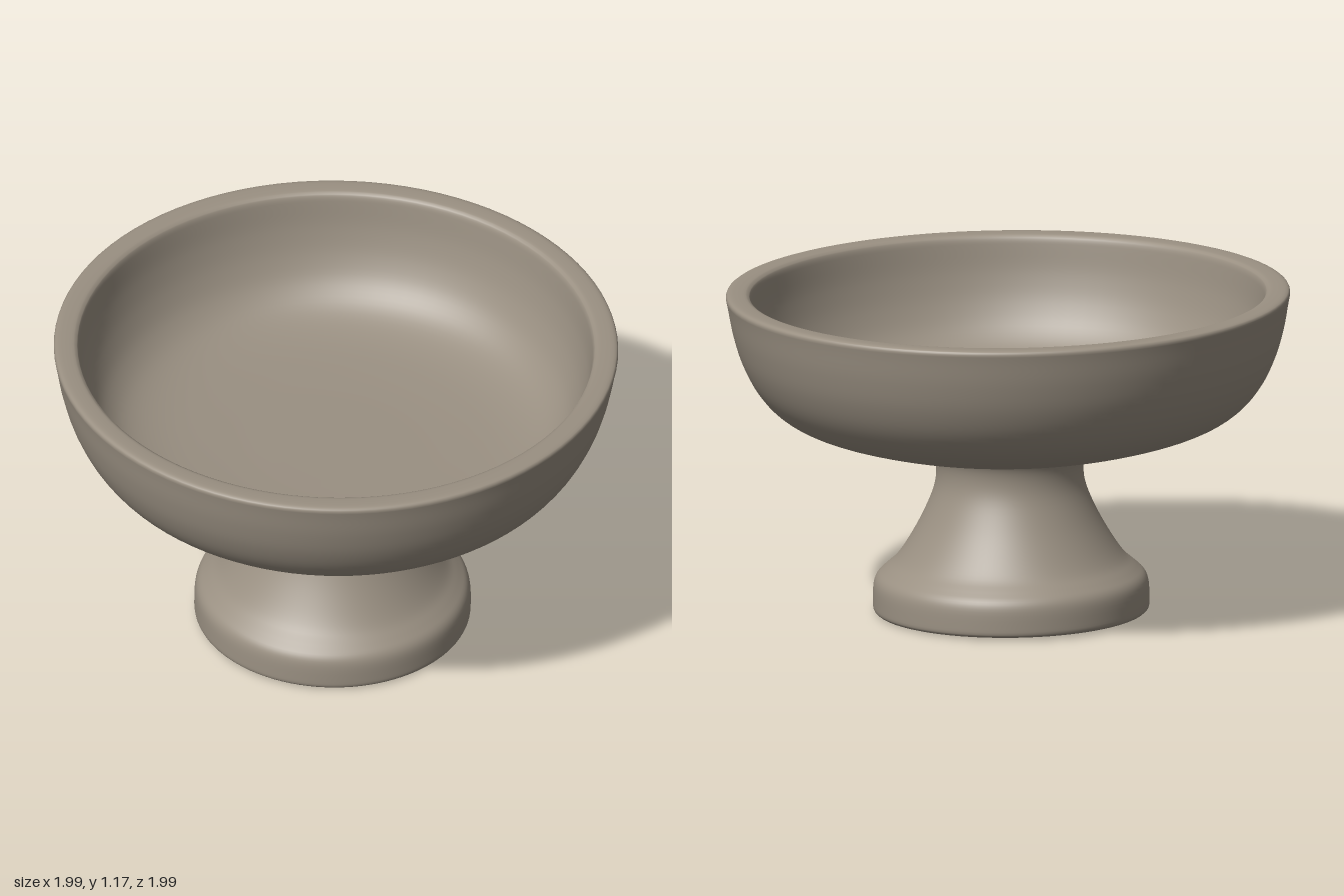
import * as THREE from 'three';

const SEGMENTS = 96;
const v = ([x, y]) => new THREE.Vector2(x, y);

// Smooth run of profile points through a few control points
const smooth = (pts, n) => new THREE.SplineCurve(pts.map(v)).getPoints(n);

function lathe(name, points, material) {
  const mesh = new THREE.Mesh(new THREE.LatheGeometry(points, SEGMENTS), material);
  mesh.name = name;
  return mesh;
}

export function createModel() {
  const clay = new THREE.MeshStandardMaterial({ color: 0x9a9082 });
  clay.name = 'clay';

  // Flared foot: dimpled underside, rounded base band, narrow waist
  const foot = lathe('foot', [
    ...smooth([[0, 0.022], [0.1, 0.025], [0.2, 0.016], [0.3, 0.01], [0.465, 0.007]], 16),
    ...smooth([[0.478, 0.009], [0.486, 0.017], [0.488, 0.03]], 5),
    ...smooth([[0.488, 0.04], [0.486, 0.1], [0.474, 0.135], [0.445, 0.163], [0.405, 0.2],
      [0.36, 0.265], [0.31, 0.355], [0.27, 0.45], [0.26, 0.52], [0.272, 0.575],
      [0.305, 0.603], [0.36, 0.618]], 44),
  ], clay);

  // Bowl: outer wall, softly rounded rim, inner wall and flat floor
  const bowl = lathe('bowl', [
    ...smooth([[0, 0.605], [0.3, 0.606], [0.46, 0.617], [0.6, 0.648], [0.74, 0.695],
      [0.83, 0.75], [0.895, 0.825], [0.943, 0.92], [0.973, 1.02], [0.99, 1.11], [0.996, 1.14]], 44),
    ...smooth([[0.996, 1.145], [0.992, 1.154], [0.98, 1.158]], 5),
    ...smooth([[0.97, 1.159], [0.935, 1.158], [0.922, 1.155]], 4),
    ...smooth([[0.914, 1.15], [0.909, 1.14], [0.906, 1.125]], 4),
    ...smooth([[0.904, 1.11], [0.89, 1.02], [0.86, 0.92], [0.81, 0.83], [0.73, 0.765],
      [0.6, 0.728], [0.4, 0.712], [0.2, 0.708], [0, 0.707]], 40),
  ], clay);

  // Hand-made lean towards the model's left
  const vessel = new THREE.Group();
  vessel.name = 'pedestalBowl';
  vessel.add(foot, bowl);
  vessel.rotation.z = -0.012;
  vessel.position.x = -0.012;

  const model = new THREE.Group();
  model.name = 'footedBowl';
  model.add(vessel);
  return model;
}
